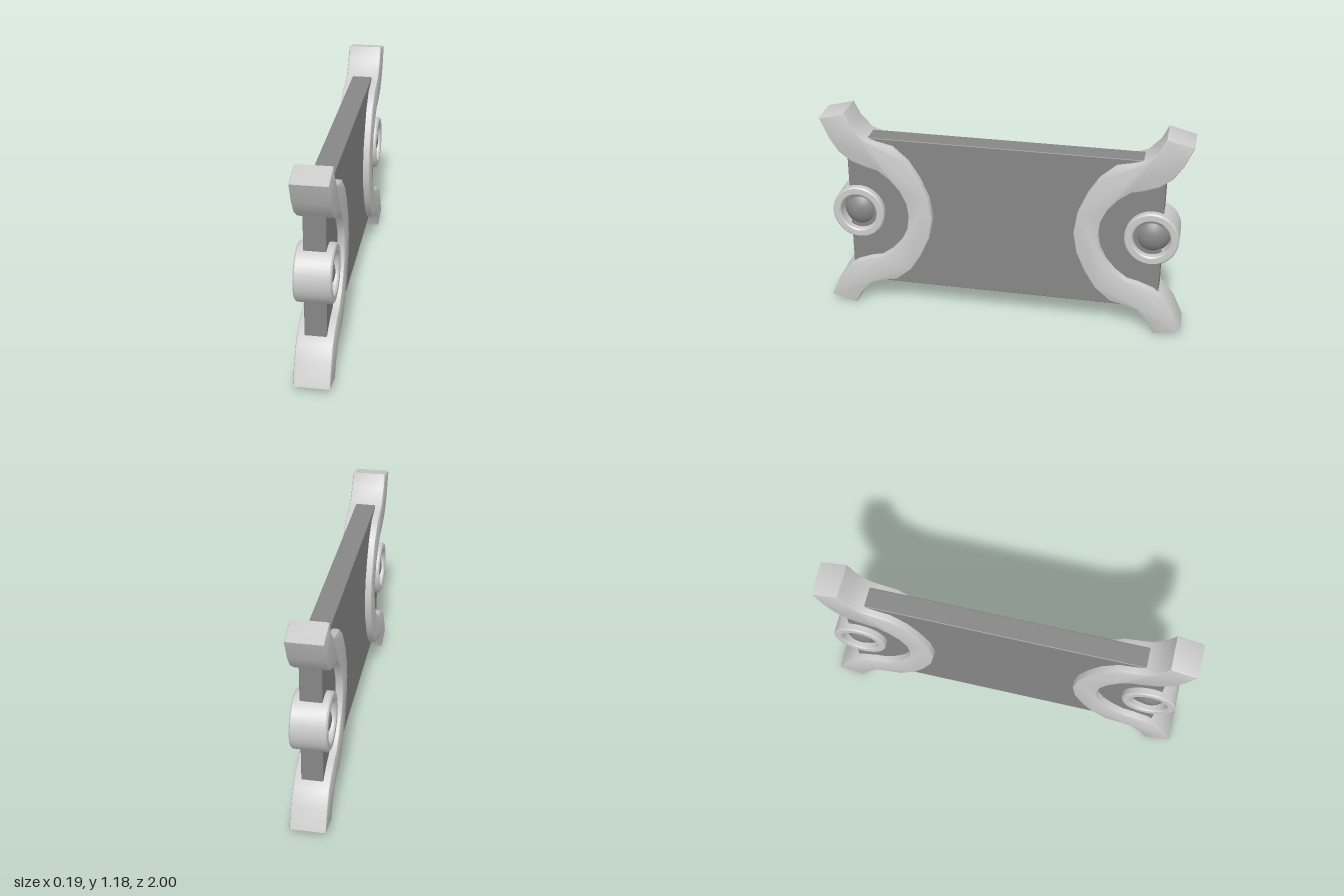
import * as THREE from 'three';
import { toCreasedNormals } from 'three/addons/utils/BufferGeometryUtils.js';
import { RoundedBoxGeometry } from 'three/addons/geometries/RoundedBoxGeometry.js';

const MID = 0.592; // height of the horizontal mirror plane
const BEVEL = 0.01;

// Upper half of the curved bracket as [z, y]: edge facing the middle, then edge facing the end
const innerEdge = [[0.39, 0.592], [0.41, 0.715], [0.46, 0.83], [0.52, 0.925], [0.605, 1.0],
  [0.695, 1.02], [0.755, 1.04], [0.82, 1.11], [0.856, 1.184]];
const outerEdge = [[1.0, 1.146], [0.95, 1.03], [0.9, 0.955], [0.835, 0.905], [0.75, 0.873],
  [0.69, 0.86], [0.625, 0.81], [0.57, 0.745], [0.535, 0.67], [0.525, 0.592]];

function bracketGeometry() {
  const half = [...innerEdge, ...outerEdge];
  const lower = half.slice(1, -1).reverse().map(([z, y]) => [z, 2 * MID - y]);
  const shape = new THREE.Shape([...half, ...lower].map(([z, y]) => new THREE.Vector2(z, y)));
  const depth = 0.19 - 2 * BEVEL;
  const geo = new THREE.ExtrudeGeometry(shape, {
    depth, bevelThickness: BEVEL, bevelSize: BEVEL, bevelOffset: -BEVEL, bevelSegments: 2,
  });
  geo.translate(0, 0, -depth / 2);
  geo.rotateY(-Math.PI / 2);
  return toCreasedNormals(geo, 0.75);
}

// Tube with softened rims, its axis along x
function ringGeometry(outer, inner, halfWidth) {
  const b = 0.008, w = halfWidth;
  const profile = [[inner, -w + b], [inner + b, -w], [outer - b, -w], [outer, -w + b],
    [outer, w - b], [outer - b, w], [inner + b, w], [inner, w - b], [inner, -w + b]];
  const geo = new THREE.LatheGeometry(profile.map(([r, y]) => new THREE.Vector2(r, y)), 48);
  geo.rotateZ(Math.PI / 2);
  return toCreasedNormals(geo, 0.6);
}

export function createModel() {
  const light = new THREE.MeshStandardMaterial({ color: 0xcccccc });
  const dark = new THREE.MeshStandardMaterial({ color: 0x868686 });
  const model = new THREE.Group();
  model.name = 'bracketedPlate';

  const add = (parent, name, geo, mat) => {
    const mesh = new THREE.Mesh(geo, mat);
    mesh.name = name;
    parent.add(mesh);
    return mesh;
  };

  // Flat central plate
  add(model, 'plate', new RoundedBoxGeometry(0.114, 0.888, 1.73, 2, 0.005), dark).position.y = MID;

  // Bracket, ring and domed stud, repeated at both ends
  const bracket = bracketGeometry();
  const ring = ringGeometry(0.154, 0.106, 0.095);
  const stud = new THREE.SphereGeometry(0.107, 40, 24);
  for (const [side, turn] of [['front', 0], ['back', Math.PI]]) {
    const end = new THREE.Group();
    end.name = side + 'End';
    end.rotation.y = turn;
    add(end, side + 'Bracket', bracket, light);
    const ringMesh = add(end, side + 'Ring', ring, light);
    ringMesh.position.set(0, MID, 0.81);
    ringMesh.scale.z = 0.95;
    const studMesh = add(end, side + 'Stud', stud, dark);
    studMesh.position.set(0, MID, 0.81);
    studMesh.scale.set(0.84, 1, 0.95);
    model.add(end);
  }
  return model;
}
